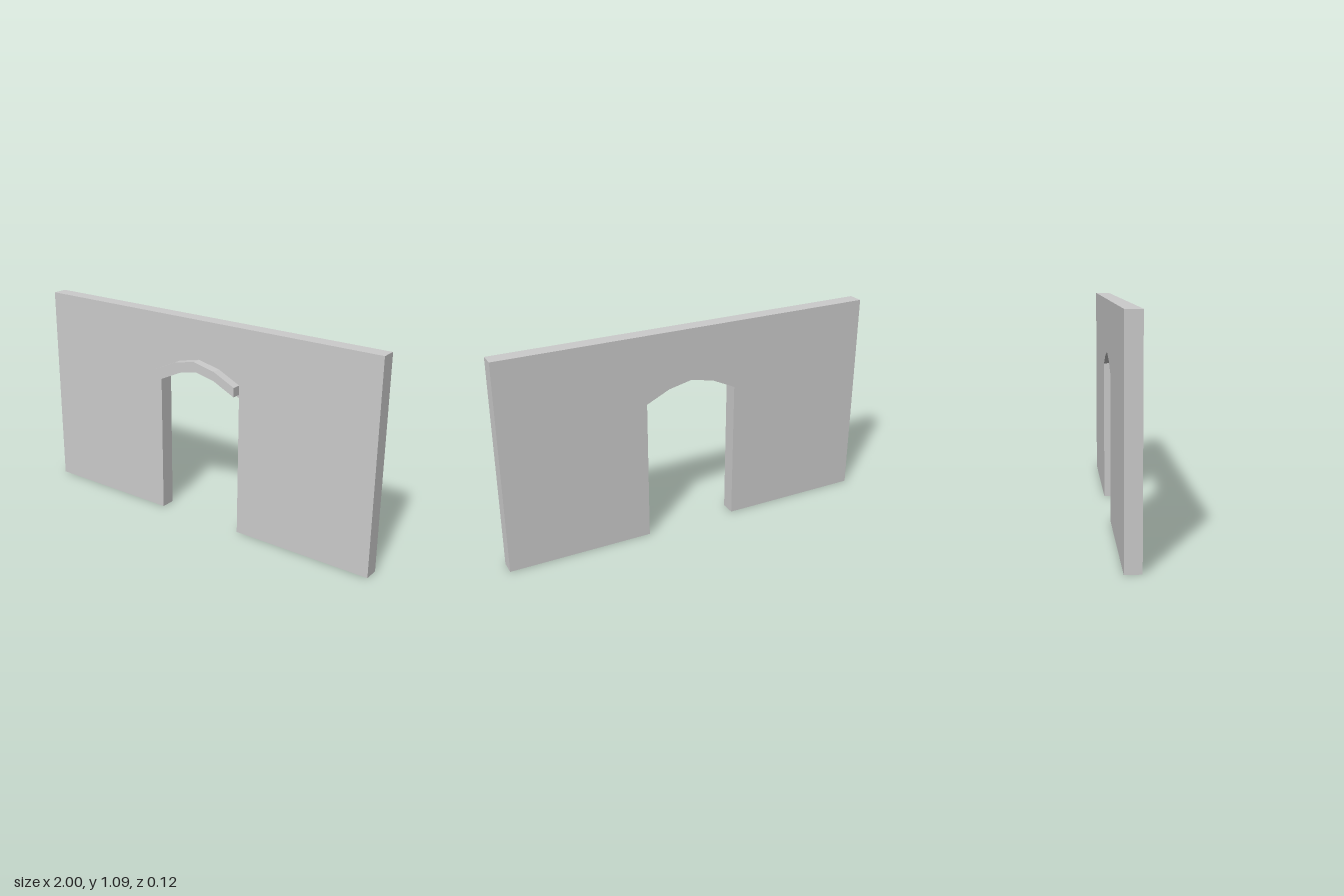
import * as THREE from 'three';

// Faceted arch line: x positions and rise above the springing
const ARCH_X = [-0.24, -0.117, 0.005, 0.128, 0.25];
const ARCH_RISE = [0, 0.058, 0.085, 0.058, 0];
const archLine = (y) => ARCH_X.map((x, i) => new THREE.Vector2(x, y + ARCH_RISE[i]));

// Extrudes an outline from zBack to zFront
function slab(name, points, zBack, zFront) {
  const geometry = new THREE.ExtrudeGeometry(new THREE.Shape(points), {
    depth: zFront - zBack,
    bevelEnabled: false,
  });
  geometry.translate(0, 0, zBack);
  const material = new THREE.MeshStandardMaterial({ color: 0xcccccc, flatShading: true });
  const mesh = new THREE.Mesh(geometry, material);
  mesh.name = name;
  return mesh;
}

export function createModel() {
  const group = new THREE.Group();
  group.name = 'archedDoorwayWall';
  const height = 1.087;
  const wallFront = 0.016;
  const p = (x, y) => new THREE.Vector2(x, y);

  // Wall with the doorway cut up from the floor
  const wallOutline = [
    p(-1, 0), p(ARCH_X[0], 0), ...archLine(0.735), p(ARCH_X[4], 0),
    p(1, 0), p(1, height), p(-1, height),
  ];
  group.add(slab('wall', wallOutline, -0.062, wallFront));

  // Projecting hood moulding just above the opening
  const hoodOutline = [...archLine(0.752), ...archLine(0.8).reverse()];
  group.add(slab('archMoulding', hoodOutline, wallFront, 0.062));

  return group;
}
